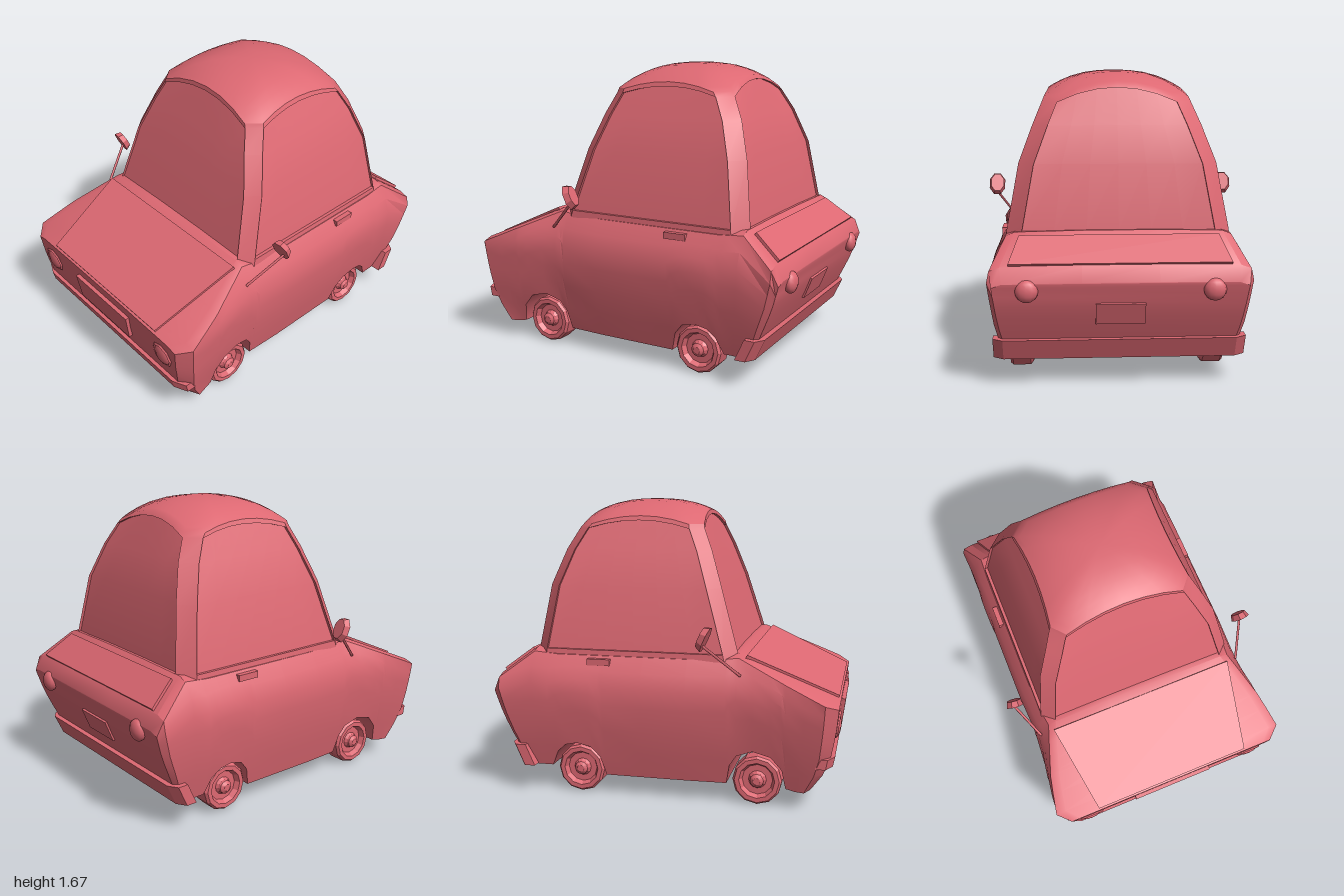
import * as THREE from 'three';
import { toCreasedNormals } from 'three/addons/utils/BufferGeometryUtils.js';

const paint = new THREE.MeshStandardMaterial({ color: 0xdd6872 });
paint.name = 'coral paint';

// Piecewise linear lookup in a list of [input, output] pairs
function lerpTable(t, v) {
  if (v <= t[0][0]) return t[0][1];
  for (let i = 1; i < t.length; i++) {
    if (v <= t[i][0]) {
      const f = (v - t[i - 1][0]) / (t[i][0] - t[i - 1][0]);
      return t[i - 1][1] + f * (t[i][1] - t[i - 1][1]);
    }
  }
  return t[t.length - 1][1];
}

// Skin closed rings of [x, y, z]; caps join mirrored ring points
function loft(rings, caps = true, crease = 0.55) {
  const n = rings[0].length, index = [];
  const quad = (a, b, c, d) => index.push(a, b, c, a, c, d);
  for (let k = 0; k < rings.length - 1; k++) {
    for (let i = 0; i < n; i++) {
      const a = k * n + i, b = k * n + (i + 1) % n;
      quad(a, b, b + n, a + n);
    }
  }
  if (caps) {
    const last = (rings.length - 1) * n;
    for (let i = 0; i < Math.floor(n / 2) - 1; i++) {
      quad(n - 1 - i, n - 2 - i, i + 1, i);
      quad(last + i, last + i + 1, last + n - 2 - i, last + n - 1 - i);
    }
  }
  const g = new THREE.BufferGeometry();
  g.setAttribute('position', new THREE.Float32BufferAttribute(rings.flat(2), 3));
  g.setIndex(index);
  return toCreasedNormals(g, crease);
}

// Lower body: cross-sections from back to front, with wheel arches in the underside
function bodyGeometry() {
  const floor = [[-0.97, 0.15], [-0.93, 0.15], [-0.74, 0.15], [-0.64, 0.15], [-0.6, 0.24], [-0.55, 0.285],
    [-0.48, 0.3], [-0.4, 0.28], [-0.35, 0.22], [-0.32, 0.11], [-0.1, 0.11], [0.15, 0.11], [0.37, 0.11],
    [0.39, 0.22], [0.43, 0.28], [0.52, 0.315], [0.62, 0.29], [0.68, 0.22], [0.7, 0.11], [0.8, 0.1],
    [0.91, 0.1], [0.98, 0.1]];
  const top = [[-0.97, 0.61], [-0.93, 0.69], [-0.74, 0.835], [-0.6, 0.825], [0.3, 0.825], [0.43, 0.84], [0.98, 0.6]];
  const width = [[0.1, 0.62], [0.35, 0.68], [0.6, 0.71], [0.69, 0.69], [0.77, 0.645], [0.82, 0.61]];
  const taper = [[-0.97, 0.94], [-0.93, 0.975], [0.2, 0.97], [0.45, 0.95], [0.91, 1.03], [0.98, 0.93]];
  const nose = [[0.1, 0.83], [0.2, 0.9], [0.3, 0.94], [0.45, 0.965], [0.6, 0.98]];
  const tail = [[0.15, -0.79], [0.3, -0.86], [0.45, -0.925], [0.6, -0.97]];
  const slant = (z, y) => {
    if (z > 0.72) return 0.72 + (z - 0.72) * (lerpTable(nose, y) - 0.72) / 0.26;
    if (z < -0.66) return -0.66 + (z + 0.66) * (lerpTable(tail, y) + 0.66) / -0.31;
    return z;
  };
  const rings = floor.map(([z, low]) => {
    const high = lerpTable(top, z), edge = high - 0.025, k = lerpTable(taper, z);
    const half = [0, 0.2, 0.4, 0.6, 0.75, 0.88, 1].map((t) => {
      const y = low + (edge - low) * t;
      return [lerpTable(width, y) * k, y, slant(z, y)];
    });
    half.push([half[6][0] * 0.92, high - 0.006, slant(z, high)]);
    const left = half.map(([x, y, d]) => [-x, y, d]).reverse();
    return [...half, [0.2, high, slant(z, high)], [-0.2, high, slant(z, high)], ...left];
  });
  return loft(rings);
}

// Cabin ring: four window edges set in by d between full-depth corner pillars
function cabinRing(y, hw, zf, zb, d, bow = 0) {
  const cx = 0.065, cz = 0.075, ring = [], steps = 6;
  const mid = (zf + zb) / 2;
  const edge = (x0, z0, x1, z1, nx, nz, lift) => {
    ring.push([x0, y, z0]);
    for (let i = 0; i <= steps; i++) {
      const t = i / steps, b = 1 - Math.pow(2 * t - 1, 2);
      const pull = d + b * bow * 0.35;
      ring.push([x0 + (x1 - x0) * t - nx * pull, y + b * bow * lift, z0 + (z1 - z0) * t - nz * pull]);
    }
    ring.push([x1, y, z1]);
  };
  edge(-hw + cx, zf, hw - cx, zf, 0, 1, 1.2);
  edge(hw, zf - cz, hw, zb + cz, 1, 0, 0.7);
  edge(hw - cx * 1.3, zb, -hw + cx * 1.3, zb, 0, -1, 1.2);
  edge(-hw, zb + cz, -hw, zf - cz, -1, 0, 0.7);
  return { ring, mid };
}

function cabinGeometry() {
  const d = 0.018;
  const rings = [
    [0.79, 0.605, 0.43, -0.745, 0], [0.83, 0.6, 0.42, -0.74, 0], [0.83, 0.6, 0.42, -0.74, d],
    [1.18, 0.535, 0.315, -0.685, d], [1.38, 0.46, 0.245, -0.615, d],
    [1.5, 0.41, 0.192, -0.55, d, 0.065], [1.5, 0.41, 0.192, -0.55, 0, 0.065],
  ].map((a) => cabinRing(...a).ring);
  // Domed roof shrinking to the centre
  const rim = cabinRing(1.525, 0.4, 0.187, -0.53, 0, 0.065);
  for (const s of [1, 0.93, 0.82, 0.66, 0.45, 0.22, 0.001]) {
    rings.push(rim.ring.map(([x, y, z]) => [x * s, 1.667 - (1.667 - y) * Math.pow(s, 2.5), rim.mid + (z - rim.mid) * s]));
  }
  return loft(rings, false);
}

// Thin panel over four corners, counterclockwise seen from outside
function panelGeometry(corners, t) {
  const v = corners.map((c) => new THREE.Vector3(...c));
  const n = v[1].clone().sub(v[0]).cross(v[3].clone().sub(v[0])).normalize();
  const shift = (s) => v.map((p) => p.clone().addScaledVector(n, s).toArray());
  return loft([shift(-0.015), shift(t)], true, 0.3);
}

// Wrap-around bumper: plan outline [x, z] mirrored and raised from y0 to y1, leaning by rule
function bumperGeometry(half, y0, y1, lean) {
  const outline = [...half, ...half.map(([x, z]) => [-x, z]).reverse()];
  const shape = new THREE.Shape(outline.map(([x, z]) => new THREE.Vector2(x, -z)));
  const g = new THREE.ExtrudeGeometry(shape, { depth: y1 - y0, bevelEnabled: false });
  g.rotateX(-Math.PI / 2).translate(0, y0, 0);
  const p = g.attributes.position;
  for (let i = 0; i < p.count; i++) p.setZ(i, p.getZ(i) + (p.getY(i) - y0) * lean);
  g.computeVertexNormals();
  return g;
}

export function createModel() {
  const car = new THREE.Group();
  car.name = 'car';
  const add = (name, geometry, x = 0, y = 0, z = 0) => {
    const m = new THREE.Mesh(geometry, paint);
    m.name = name;
    m.position.set(x, y, z);
    car.add(m);
    return m;
  };

  add('body', bodyGeometry());
  add('cabin', cabinGeometry());

  // Panels and plates
  add('hood', panelGeometry([[-0.48, 0.605, 0.968], [0.48, 0.605, 0.968], [0.565, 0.822, 0.47], [-0.565, 0.822, 0.47]], 0.009));
  add('trunkLid', panelGeometry([[0.58, 0.692, -0.927], [-0.58, 0.692, -0.927], [-0.53, 0.81, -0.772], [0.53, 0.81, -0.772]], 0.012));
  add('grille', panelGeometry([[-0.235, 0.38, 0.957], [0.235, 0.38, 0.957], [0.245, 0.54, 0.978], [-0.245, 0.54, 0.978]], 0.018));
  add('frontPlate', panelGeometry([[-0.155, 0.125, 0.85], [0.155, 0.125, 0.85], [0.165, 0.24, 0.917], [-0.165, 0.24, 0.917]], 0.009));
  add('rearPlate', panelGeometry([[0.13, 0.37, -0.893], [-0.13, 0.37, -0.893], [-0.13, 0.49, -0.94], [0.13, 0.49, -0.94]], 0.009));

  // Bumpers
  add('frontBumper', bumperGeometry([[0.655, 0.86], [0.678, 0.86], [0.678, 0.915], [0.6, 0.95]], 0.25, 0.305, 0.2));
  add('rearBumper', bumperGeometry([[0.6, -0.73], [0.675, -0.73], [0.675, -0.79], [0.62, -0.825]], 0.155, 0.275, -0.45));

  // Wheel profile from inner face to hub cap
  const profile = [[0, -0.065], [0.115, -0.065], [0.137, -0.05], [0.137, 0.05], [0.125, 0.065], [0.1, 0.065],
    [0.085, 0.035], [0.05, 0.035], [0.04, 0.05], [0.038, 0.065], [0.02, 0.078], [0, 0.078]]
    .map(([r, y]) => new THREE.Vector2(r, y));
  const wheelGeometry = toCreasedNormals(new THREE.LatheGeometry(profile, 12), 0.4);
  const mirrorGeometry = toCreasedNormals(new THREE.CylinderGeometry(0.065, 0.052, 0.035, 8), 0.4);
  mirrorGeometry.rotateY(Math.PI / 8).rotateX(Math.PI / 2).scale(0.82, 1.15, 1);

  for (const [end, z] of [['front', 0.54], ['rear', -0.475]]) {
    add(end + 'Axle', new THREE.CylinderGeometry(0.05, 0.05, 1, 12), 0, 0.137, z).rotation.z = Math.PI / 2;
    for (const s of [1, -1]) {
      add(end + 'Wheel', wheelGeometry, s * 0.537, 0.137, z).rotation.z = -s * Math.PI / 2;
    }
  }

  for (const s of [1, -1]) {
    // Lights
    const ring = add('headlightRing', toCreasedNormals(new THREE.TorusGeometry(0.071, 0.009, 4, 8), 0.4), s * 0.53, 0.468, 0.967);
    ring.rotation.x = 0.12;
    add('headlight', new THREE.SphereGeometry(0.066, 12, 8), s * 0.53, 0.468, 0.963).scale.z = 0.35;
    add('tailLight', new THREE.SphereGeometry(0.06, 12, 8), s * 0.485, 0.565, -0.962).scale.z = 0.6;

    // Door handle
    add('doorHandle', new THREE.BoxGeometry(0.03, 0.036, 0.13), s * 0.63, 0.768, -0.35);

    // Wing mirror on a thin arm
    const arm = new THREE.LineCurve3(new THREE.Vector3(s * 0.645, 0.73, 0.45), new THREE.Vector3(s * 0.74, 0.91, 0.25));
    add('mirrorArm', new THREE.TubeGeometry(arm, 1, 0.008, 6));
    const mirror = add('mirror', mirrorGeometry, s * 0.725, 0.94, 0.262);
    mirror.rotation.set(0.42, s * 0.1, 0);
  }
  return car;
}
